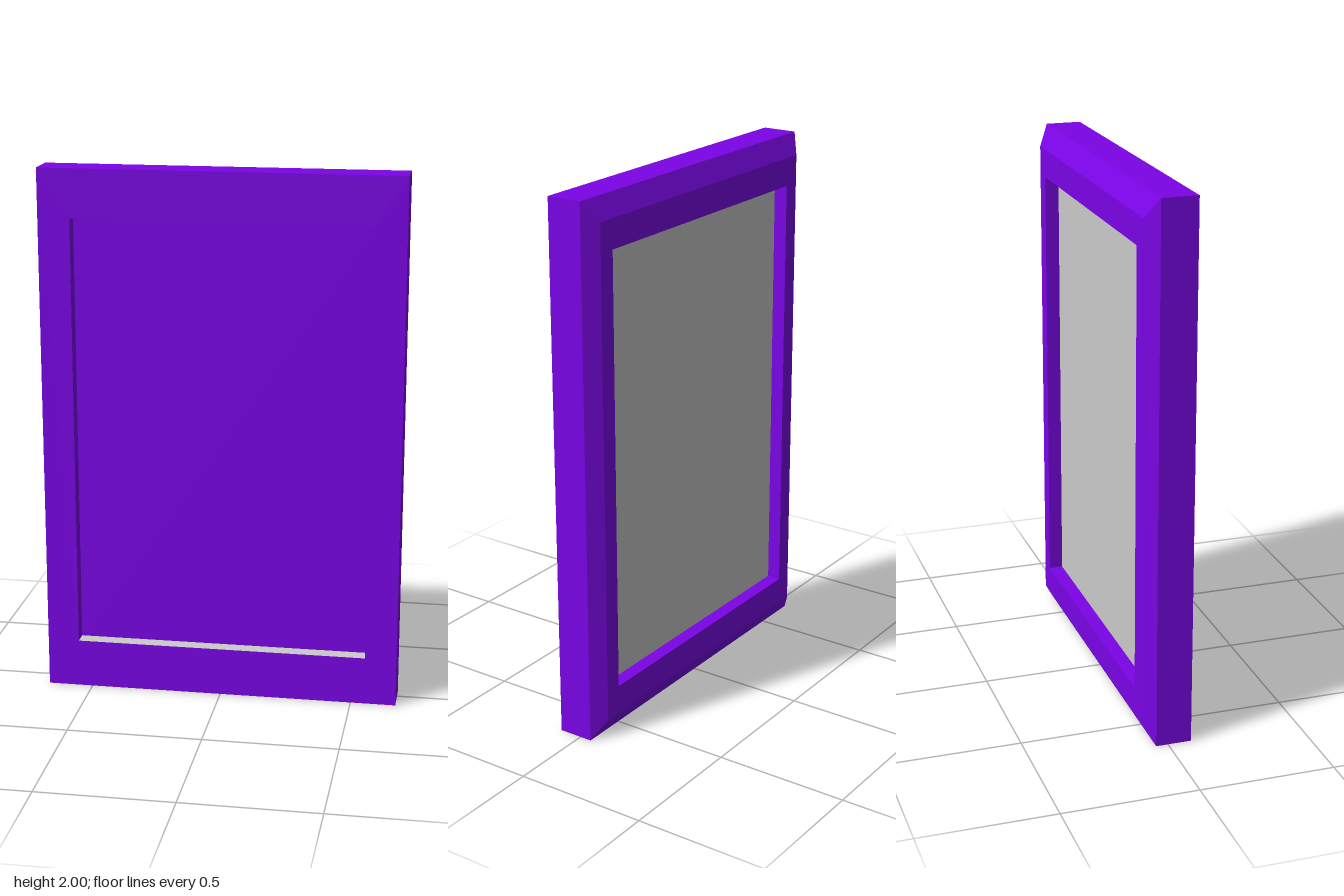
import * as THREE from 'three';

const W = 0.67, H = 1, FRONT = 0.0875, BACK = -0.0875;
const OPEN_W = 0.551, OPEN_H = 0.818;
const PANEL_Z = 0.032, PANE_Z = -0.035;

// Skin a chain of nested rectangles, each [halfWidth, halfHeight, z], with flat quads
function loftRectangles(rings) {
  const corners = ([w, h, z]) => [[-w, -h, z], [w, -h, z], [w, h, z], [-w, h, z]];
  const pos = [];
  for (let i = 0; i < rings.length - 1; i++) {
    const a = corners(rings[i]), b = corners(rings[i + 1]);
    for (let k = 0; k < 4; k++) {
      const n = (k + 1) % 4;
      pos.push(...a[k], ...a[n], ...b[n], ...a[k], ...b[n], ...b[k]);
    }
  }
  const geo = new THREE.BufferGeometry();
  geo.setAttribute('position', new THREE.Float32BufferAttribute(pos, 3));
  geo.computeVertexNormals();
  return geo;
}

export function createModel() {
  const purple = new THREE.MeshStandardMaterial({ color: 0x7d04eb });
  purple.name = 'purple';
  const grey = new THREE.MeshStandardMaterial({ color: 0xcccccc });
  grey.name = 'grey';

  const model = new THREE.Group();
  model.name = 'framedPanel';
  const add = (name, geo, mat, y, z) => {
    const mesh = new THREE.Mesh(geo, mat);
    mesh.name = name;
    mesh.position.set(0, y, z);
    model.add(mesh);
    return mesh;
  };

  // Frame, from the back recess over the rim, bevel, sides and front face to the front recess
  add('frame', loftRectangles([
    [OPEN_W, OPEN_H, PANE_Z],
    [OPEN_W, OPEN_H, BACK],
    [W - 0.053, H - 0.075, BACK],
    [W, H, -0.045],
    [W, H, FRONT],
    [OPEN_W, OPEN_H, FRONT],
    [OPEN_W, OPEN_H, PANEL_Z],
  ]), purple, H, 0);

  // Recessed panel on the front
  const sheet = new THREE.PlaneGeometry(OPEN_W * 2, OPEN_H * 2);
  add('frontPanel', sheet, purple, H, PANEL_Z);

  // Grey pane set into the back
  add('backPane', sheet, grey, H, PANE_Z).rotation.y = Math.PI;

  // Grey sill along the bottom of the front recess
  const sill = new THREE.PlaneGeometry(OPEN_W * 2, FRONT - PANEL_Z);
  add('sill', sill, grey, H - OPEN_H + 0.001, (FRONT + PANEL_Z) / 2).rotation.x = -Math.PI / 2;

  return model;
}
